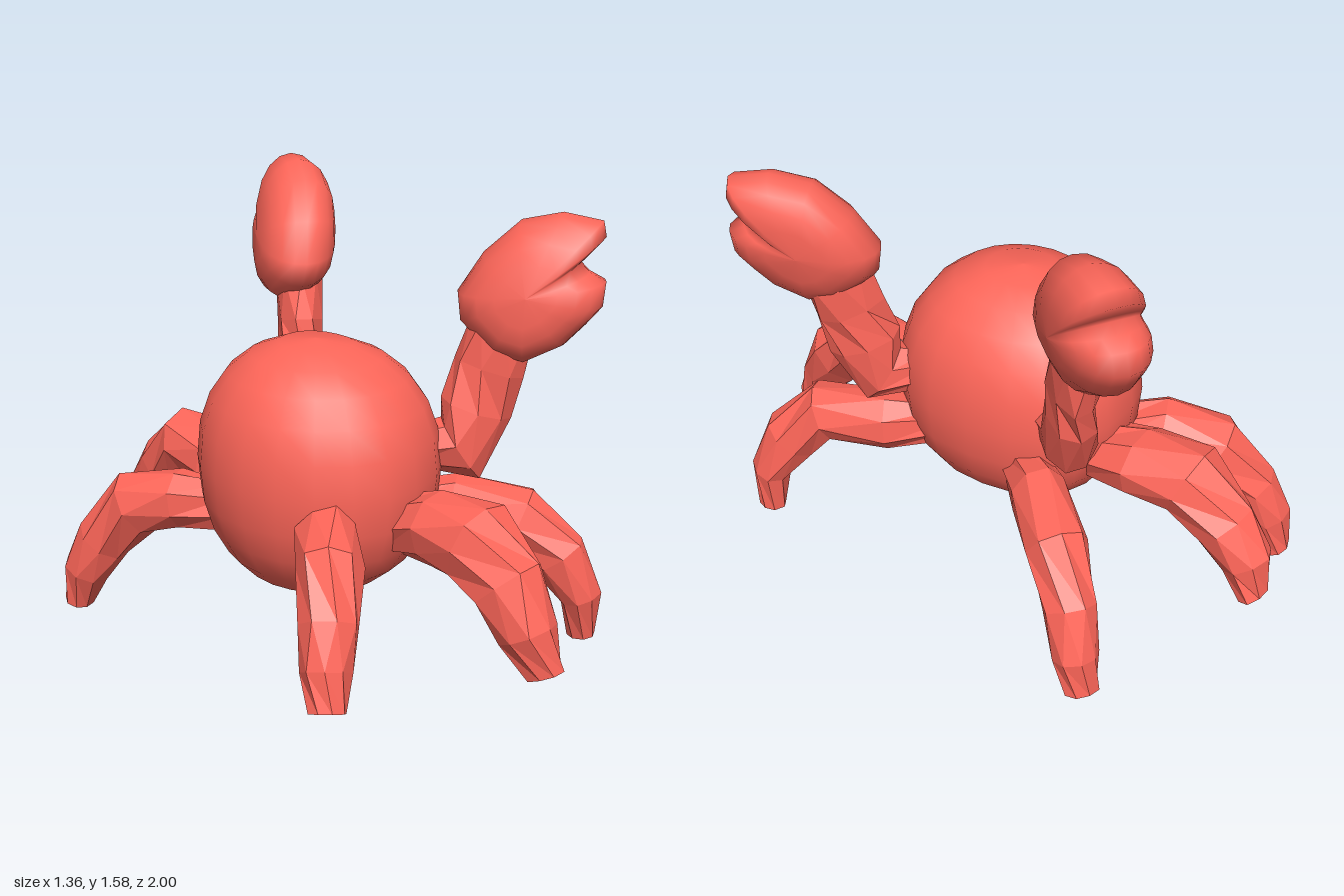
import * as THREE from 'three';

const material = new THREE.MeshStandardMaterial({ color: 0xff6659 });
const flatMaterial = material.clone();
flatMaterial.flatShading = true;

// small seeded generator for the rough, chiselled limbs
let seed = 7;
const jitter = (a) => {
  seed = (seed * 16807) % 2147483647;
  return 1 + a * ((seed / 2147483647) * 2 - 1);
};

// skin a list of equal-length rings of Vector3
function loft(rings) {
  const n = rings[0].length, index = [];
  for (let i = 0; i < rings.length - 1; i++) {
    for (let j = 0; j < n; j++) {
      const a = i * n + j, b = i * n + (j + 1) % n;
      index.push(a, a + n, b + n, a, b + n, b);
    }
  }
  const g = new THREE.BufferGeometry().setFromPoints(rings.flat());
  g.setIndex(index);
  g.computeVertexNormals();
  return g;
}

// faceted limb along stations [x, y, z, half width, half thickness]
function limb(name, stations, sides = 8) {
  const pts = stations.map(([x, y, z]) => new THREE.Vector3(x, y, z));
  const last = pts.length - 1;
  const up = new THREE.Vector3(0, 1, 0);
  const heading = pts[last].clone().sub(pts[0]).setY(0).normalize();
  const side = up.clone().cross(heading);
  const rings = pts.map((p, i) => {
    const t = pts[Math.min(i + 1, last)].clone().sub(pts[Math.max(i - 1, 0)]).normalize();
    const normal = side.clone().cross(t).normalize();
    return Array.from({ length: sides }, (_, j) => {
      const a = ((j + (i % 2) * 0.4) / sides) * Math.PI * 2;
      const k = jitter(0.08);
      return p.clone()
        .addScaledVector(side, Math.cos(a) * stations[i][3] * k)
        .addScaledVector(normal, Math.sin(a) * stations[i][4] * k);
    });
  });
  const cap = (p) => Array.from({ length: sides }, () => p.clone());
  const mesh = new THREE.Mesh(loft([cap(pts[0]), ...rings, cap(pts[last])]), flatMaterial);
  mesh.name = name;
  return mesh;
}

// claw outline (forward, up), with a short notch between the two blunt fingers
const clawOutline = [
  [0.215, 0.18], [0.2, 0.23], [0.07, 0.25], [-0.06, 0.22], [-0.17, 0.11], [-0.24, -0.02],
  [-0.22, -0.11], [-0.1, -0.21], [0.01, -0.235], [0.13, -0.17], [0.19, -0.1], [0.235, -0.04],
  [0.235, 0.04], [0.18, 0.065], [0.145, 0.095], [0.175, 0.13],
];

// rounded claw: outline shrinks toward each flank like a lens
function claw(name, center, forward, pitch, length, thickness) {
  const up = new THREE.Vector3(0, 1, 0);
  const f = new THREE.Vector3(forward[0], 0, forward[1]).normalize();
  const side = f.clone().cross(up);
  const c = Math.cos(pitch), s = Math.sin(pitch), steps = 10;
  const rings = [];
  for (let i = 0; i <= steps; i++) {
    const phi = (i / steps) * Math.PI;
    const r = Math.pow(Math.max(Math.sin(phi), 0), 0.75);
    rings.push(clawOutline.map(([u, v]) => {
      const y = (u * s + v * c) * r;
      const p = new THREE.Vector3(...center)
        .addScaledVector(f, (u * c - v * s) * r * length)
        .addScaledVector(up, y)
        .addScaledVector(side, Math.cos(phi) * thickness);
      p.x += y * 0.17; // lean forward
      return p;
    }));
  }
  const mesh = new THREE.Mesh(loft(rings), material);
  mesh.name = name;
  return mesh;
}

// round shell: squarer toward the claws and fuller underneath
function body() {
  const rows = 12, sides = 20, rings = [];
  const box = (v, e) => Math.sign(v) * Math.pow(Math.abs(v), e);
  for (let i = 0; i <= rows; i++) {
    const a = (i / rows) * Math.PI;
    const r = Math.pow(Math.max(Math.sin(a), 0), i > rows / 2 ? 0.8 : 0.88);
    const y = box(Math.cos(a), 0.92);
    rings.push(Array.from({ length: sides }, (_, j) => {
      const b = (j / sides) * Math.PI * 2;
      const e = Math.sin(b) > 0 ? 0.86 : 1;
      return new THREE.Vector3(
        -0.06 + 0.373 * r * box(Math.sin(b), e) + 0.04 * Math.min(y, 0) * (1 - r),
        0.69 + (y > 0 ? 0.43 : 0.435) * y,
        0.01 + 0.423 * r * box(Math.cos(b), e));
    }));
  }
  const mesh = new THREE.Mesh(loft(rings), material);
  mesh.name = 'body';
  return mesh;
}

export function createModel() {
  const model = new THREE.Group();
  model.name = 'crab';
  model.add(body());

  // six bent walking legs
  const legs = {
    frontLegA: [[0.13, 0.53, 0.17, 0.07, 0.06], [0.24, 0.53, 0.38, 0.1, 0.11], [0.31, 0.52, 0.6, 0.1, 0.115],
      [0.36, 0.4, 0.72, 0.09, 0.1], [0.4, 0.25, 0.79, 0.08, 0.07], [0.42, 0.1, 0.79, 0.05, 0.05]],
    frontLegB: [[0.13, 0.51, -0.07, 0.07, 0.08], [0.32, 0.53, -0.27, 0.1, 0.11], [0.47, 0.49, -0.42, 0.1, 0.11],
      [0.56, 0.35, -0.52, 0.09, 0.1], [0.61, 0.2, -0.57, 0.08, 0.08], [0.62, 0.07, -0.6, 0.06, 0.05]],
    middleLegA: [[-0.03, 0.54, 0.32, 0.1, 0.1], [-0.04, 0.57, 0.5, 0.13, 0.12], [-0.05, 0.58, 0.66, 0.14, 0.13],
      [-0.07, 0.48, 0.8, 0.12, 0.12], [-0.09, 0.34, 0.89, 0.1, 0.09], [-0.07, 0.21, 0.95, 0.06, 0.06]],
    middleLegB: [[0.02, 0.54, -0.3, 0.1, 0.09], [0.03, 0.56, -0.5, 0.14, 0.11], [0.04, 0.56, -0.68, 0.13, 0.12],
      [0.05, 0.44, -0.82, 0.11, 0.11], [0.06, 0.33, -0.91, 0.09, 0.09], [0.07, 0.21, -0.95, 0.07, 0.05]],
    rearLegA: [[-0.2, 0.55, 0.18, 0.09, 0.09], [-0.33, 0.57, 0.28, 0.1, 0.12], [-0.44, 0.54, 0.38, 0.11, 0.13],
      [-0.53, 0.4, 0.45, 0.1, 0.11], [-0.59, 0.28, 0.49, 0.08, 0.09], [-0.63, 0.17, 0.53, 0.06, 0.055]],
    rearLegB: [[-0.18, 0.47, -0.28, 0.09, 0.09], [-0.25, 0.49, -0.45, 0.11, 0.11], [-0.3, 0.44, -0.62, 0.12, 0.12],
      [-0.35, 0.28, -0.75, 0.1, 0.1], [-0.38, 0.15, -0.82, 0.085, 0.08], [-0.39, 0.01, -0.86, 0.06, 0.05]],
  };
  for (const [name, stations] of Object.entries(legs)) model.add(limb(name, stations));

  // raised arms and claws
  model.add(limb('armA', [[0.15, 0.74, 0.25, 0.07, 0.07], [0.24, 0.74, 0.39, 0.09, 0.12],
    [0.28, 0.88, 0.42, 0.085, 0.125], [0.31, 1.02, 0.45, 0.08, 0.125], [0.34, 1.17, 0.48, 0.08, 0.115]]));
  model.add(limb('armB', [[0.15, 0.75, -0.21, 0.07, 0.07], [0.25, 0.75, -0.34, 0.09, 0.12],
    [0.3, 0.9, -0.37, 0.085, 0.13], [0.33, 1.02, -0.39, 0.08, 0.12], [0.36, 1.17, -0.42, 0.08, 0.1]]));
  model.add(claw('clawA', [0.385, 1.285, 0.55], [0.4, 0.9], 0, 1, 0.135));
  model.add(claw('clawB', [0.4, 1.315, -0.48], [0.6, -0.8], 0.15, 1.06, 0.14));
  return model;
}
